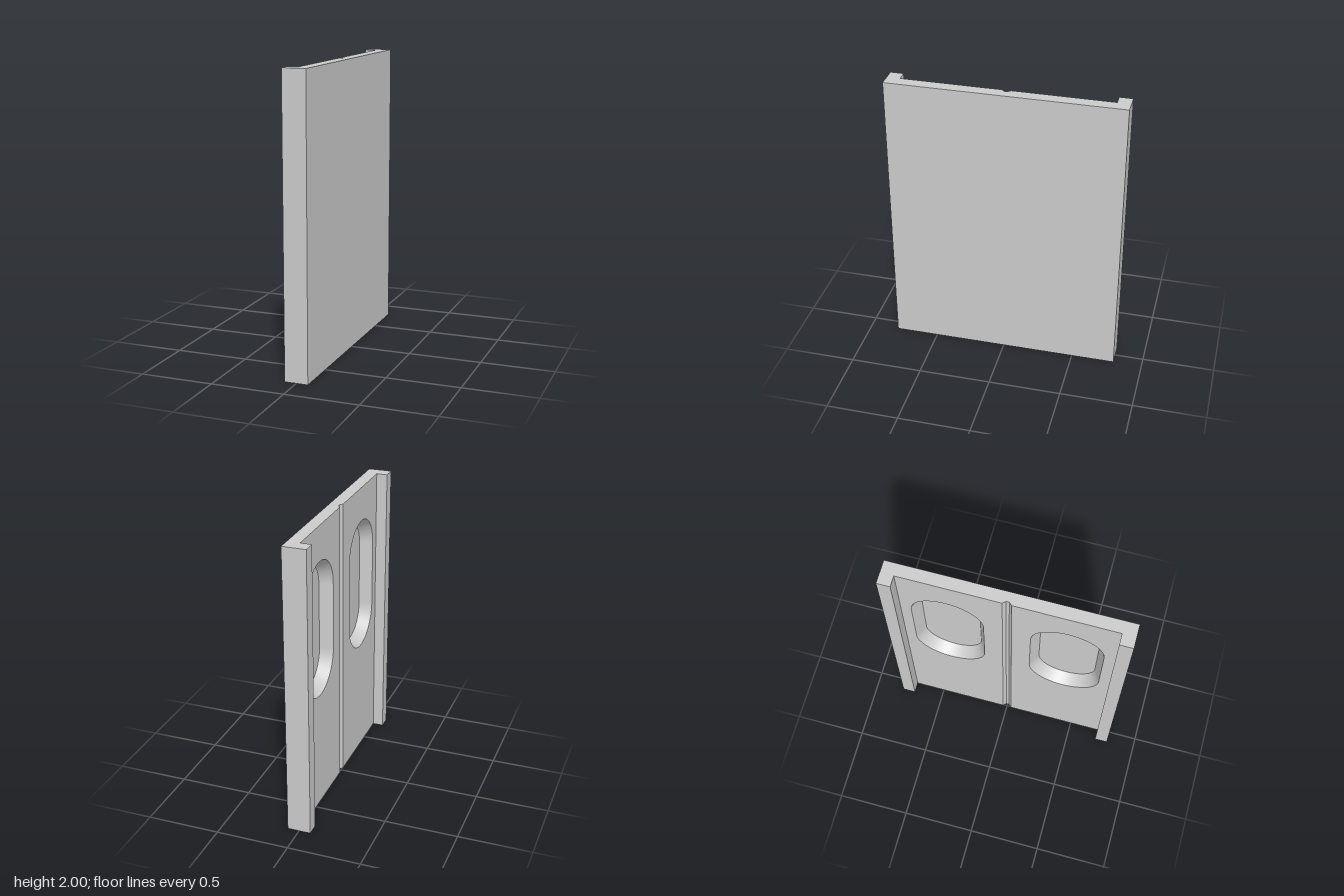
import * as THREE from 'three';

const H = 2, FACE = -0.005, FLOOR = 0.077;
const material = new THREE.MeshStandardMaterial({ color: 0xcccccc, side: THREE.DoubleSide });

function part(name, geometry) {
  const mesh = new THREE.Mesh(geometry, material);
  mesh.name = name;
  return mesh;
}

// Flat shape drawn in (z, y), turned to face -x at the given depth
function backFacing(shape, x) {
  return new THREE.ShapeGeometry(shape, 20).rotateY(-Math.PI / 2).translate(x, 0, 0);
}

// Upright rounded slot centred on z
function slot(z, r) {
  const s = new THREE.Shape();
  s.absarc(z, 1.52, r, 0, Math.PI, false);
  s.absarc(z, 1.06, r, Math.PI, Math.PI * 2, false);
  return s;
}

// Upright wall strip through a run of [x, z] points, flat on each segment
function walls(points) {
  const pos = [];
  for (let i = 0; i < points.length - 1; i++) {
    const [ax, az] = points[i], [bx, bz] = points[i + 1];
    pos.push(ax, 0, az, ax, H, az, bx, H, bz, ax, 0, az, bx, H, bz, bx, 0, bz);
  }
  const g = new THREE.BufferGeometry();
  g.setAttribute('position', new THREE.Float32BufferAttribute(pos, 3));
  g.computeVertexNormals();
  return g;
}

// Tapered wall joining the opening of a pocket to its smaller floor
function pocketWall(outer, inner) {
  const a = outer.getPoints(20), b = inner.getPoints(20), n = a.length;
  const pos = [], index = [];
  for (let i = 0; i < n; i++) {
    pos.push(FACE, a[i].y, a[i].x, FLOOR, b[i].y, b[i].x);
    const p = 2 * i, q = 2 * ((i + 1) % n);
    index.push(p, q, q + 1, p, q + 1, p + 1);
  }
  const g = new THREE.BufferGeometry();
  g.setAttribute('position', new THREE.Float32BufferAttribute(pos, 3));
  g.setIndex(index);
  g.computeVertexNormals();
  return g;
}

export function createModel() {
  const group = new THREE.Group();
  group.name = 'doublePanelDoor';

  // Plan outline: outer face, posts and the centre groove
  const outer = [[FACE, -0.71], [-0.08, -0.71], [-0.08, -0.8], [0.08, -0.8],
    [0.08, 0.8], [-0.08, 0.8], [-0.08, 0.71], [FACE, 0.71]];
  const groove = [[FACE, 0.03], [0.013, 0.01], [0.013, -0.01], [FACE, -0.03]];
  group.add(part('outerFaceAndPosts', walls(outer)));
  group.add(part('centreGroove', walls(groove)));

  // Top cap; the underside is open
  const plan = new THREE.Shape([...outer, ...groove].map(([x, z]) => new THREE.Vector2(x, -z)));
  group.add(part('topCap', new THREE.ShapeGeometry(plan).rotateX(-Math.PI / 2).translate(0, H, 0)));

  // Two door leaves, each with a recessed window
  for (const side of [-1, 1]) {
    const leaf = new THREE.Group();
    leaf.name = side > 0 ? 'frontLeaf' : 'rearLeaf';
    const z0 = Math.min(side * 0.03, side * 0.71), z1 = z0 + 0.68;
    const panel = new THREE.Shape([[z0, 0], [z1, 0], [z1, H], [z0, H]].map(p => new THREE.Vector2(...p)));
    const opening = slot(side * 0.397, 0.241), floor = slot(side * 0.397, 0.195);
    panel.holes.push(opening);
    leaf.add(part('leafPanel', backFacing(panel, FACE)));
    leaf.add(part('windowReveal', pocketWall(opening, floor)));
    leaf.add(part('windowPane', backFacing(floor, FLOOR)));
    group.add(leaf);
  }
  return group;
}
